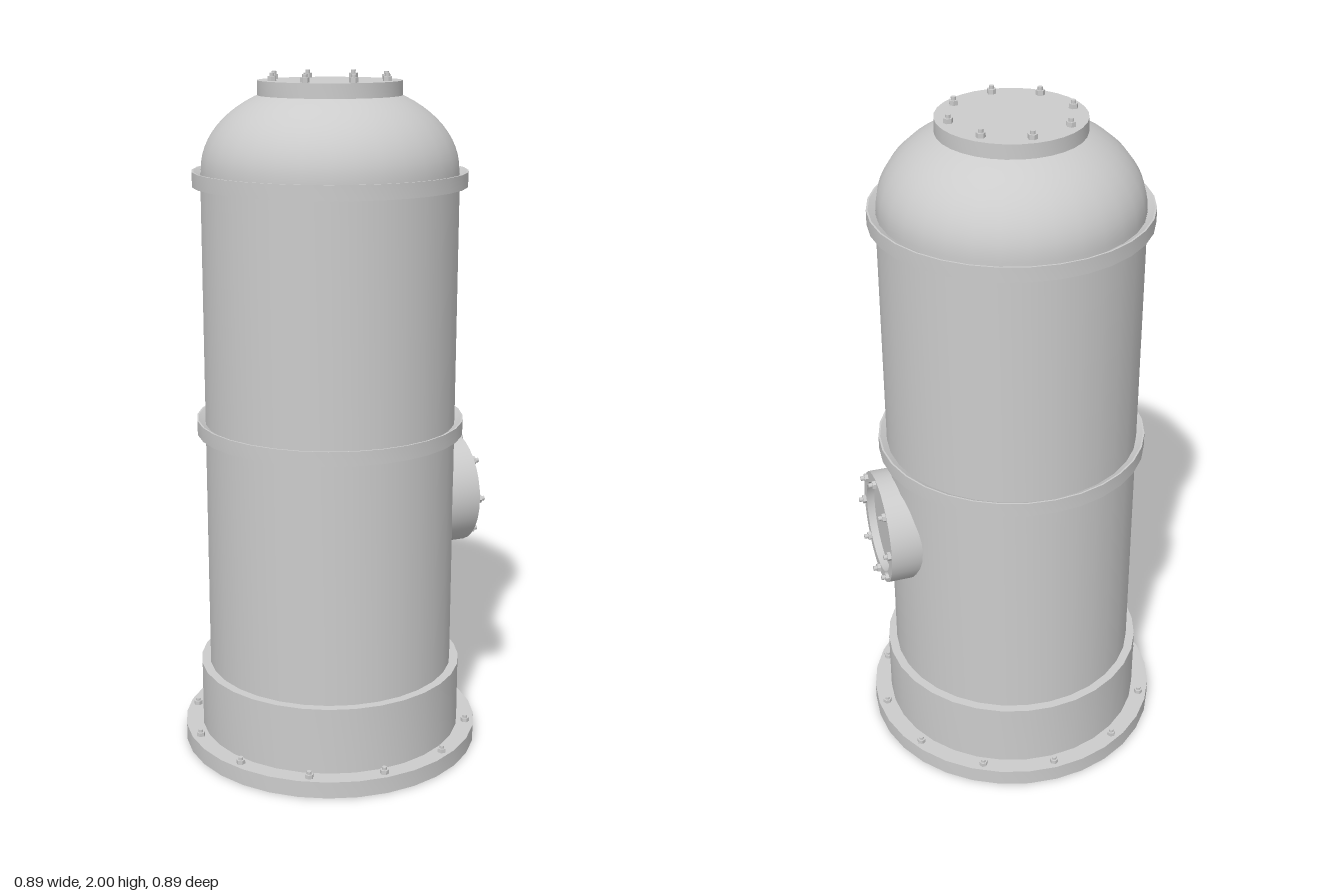
import * as THREE from 'three';
import { toCreasedNormals } from 'three/addons/utils/BufferGeometryUtils.js';

const SIDES = 32;
const grey = new THREE.MeshStandardMaterial({ color: 0xcccccc });
const greyThin = new THREE.MeshStandardMaterial({ color: 0xcccccc, side: THREE.DoubleSide });

// Turned part from [radius, y] points, listed bottom outer to top
function turned(name, points, material = grey) {
  const profile = points.map(([r, y]) => new THREE.Vector2(r, y));
  const geometry = toCreasedNormals(new THREE.LatheGeometry(profile, SIDES), 0.5);
  const mesh = new THREE.Mesh(geometry, material);
  mesh.name = name;
  return mesh;
}

// Hex nut with a stud end, standing on y = 0
function bolt(nutHeight, height) {
  const group = new THREE.Group();
  group.name = 'bolt';
  const nut = new THREE.Mesh(new THREE.CylinderGeometry(0.013, 0.013, nutHeight, 6).toNonIndexed(), grey);
  nut.geometry.computeVertexNormals();
  nut.name = 'nut';
  nut.position.y = nutHeight / 2;
  const stud = new THREE.Mesh(new THREE.CylinderGeometry(0.007, 0.007, height, 10), grey);
  stud.name = 'stud';
  stud.position.y = height / 2;
  group.add(nut, stud);
  return group;
}

function boltCircle(name, count, radius, y, nutHeight = 0.012, height = 0.02) {
  const group = new THREE.Group();
  group.name = name;
  for (let i = 0; i < count; i++) {
    const a = (i / count) * Math.PI * 2;
    const b = bolt(nutHeight, height);
    b.position.set(Math.sin(a) * radius, y, Math.cos(a) * radius);
    b.rotation.y = a;
    group.add(b);
  }
  return group;
}

// Joint ring whose upper face slopes in towards the shell
function jointRing(name, y) {
  return turned(name, [
    [0.365, y], [0.392, y], [0.392, y + 0.042], [0.387, y + 0.042], [0.367, y + 0.03],
  ]);
}

// Round hatch built upright, then turned to point along +x
function sideHatch() {
  const hatch = new THREE.Group();
  hatch.name = 'sideHatch';
  hatch.add(
    turned('hatchNeck', [[0.168, 0], [0.168, 0.118], [0.136, 0.118], [0.136, 0.095]]),
    turned('hatchCover', [[0.137, 0.095], [0, 0.095]]),
    boltCircle('hatchBolts', 8, 0.152, 0.118, 0.01, 0.021),
  );
  hatch.rotation.z = -Math.PI / 2;
  hatch.position.set(0.3, 0.745, 0);
  return hatch;
}

export function createModel() {
  const model = new THREE.Group();
  model.name = 'pressureVessel';

  // Hollow base, open underneath
  model.add(
    turned('baseFlange', [[0.388, 0], [0.446, 0], [0.446, 0.05], [0.392, 0.05]]),
    turned('baseSkirt', [[0.394, 0.04], [0.394, 0.25], [0.366, 0.25]]),
    turned('skirtLining', [[0.366, 0.245], [0.388, 0.245], [0.388, 0]]),
    boltCircle('baseBolts', 12, 0.42, 0.05),
  );

  // Cylindrical shell and its joints
  model.add(
    turned('shell', [[0.368, 0.245], [0.368, 1.72]], greyThin),
    jointRing('middleRing', 0.97),
    jointRing('upperRing', 1.688),
  );

  // Domed head, an ellipse cut off under the top flange
  const dome = [[0.366, 1.7]];
  for (let i = 0; i <= 12; i++) {
    const a = (i / 12) * 1.04;
    dome.push([0.366 * Math.cos(a), 1.73 + 0.25 * Math.sin(a)]);
  }
  model.add(
    turned('dome', dome, greyThin),
    turned('topFlange', [[0, 1.937], [0.204, 1.937], [0.204, 1.978], [0, 1.978]]),
    boltCircle('topBolts', 8, 0.172, 1.978, 0.013, 0.022),
  );

  model.add(sideHatch());
  return model;
}
